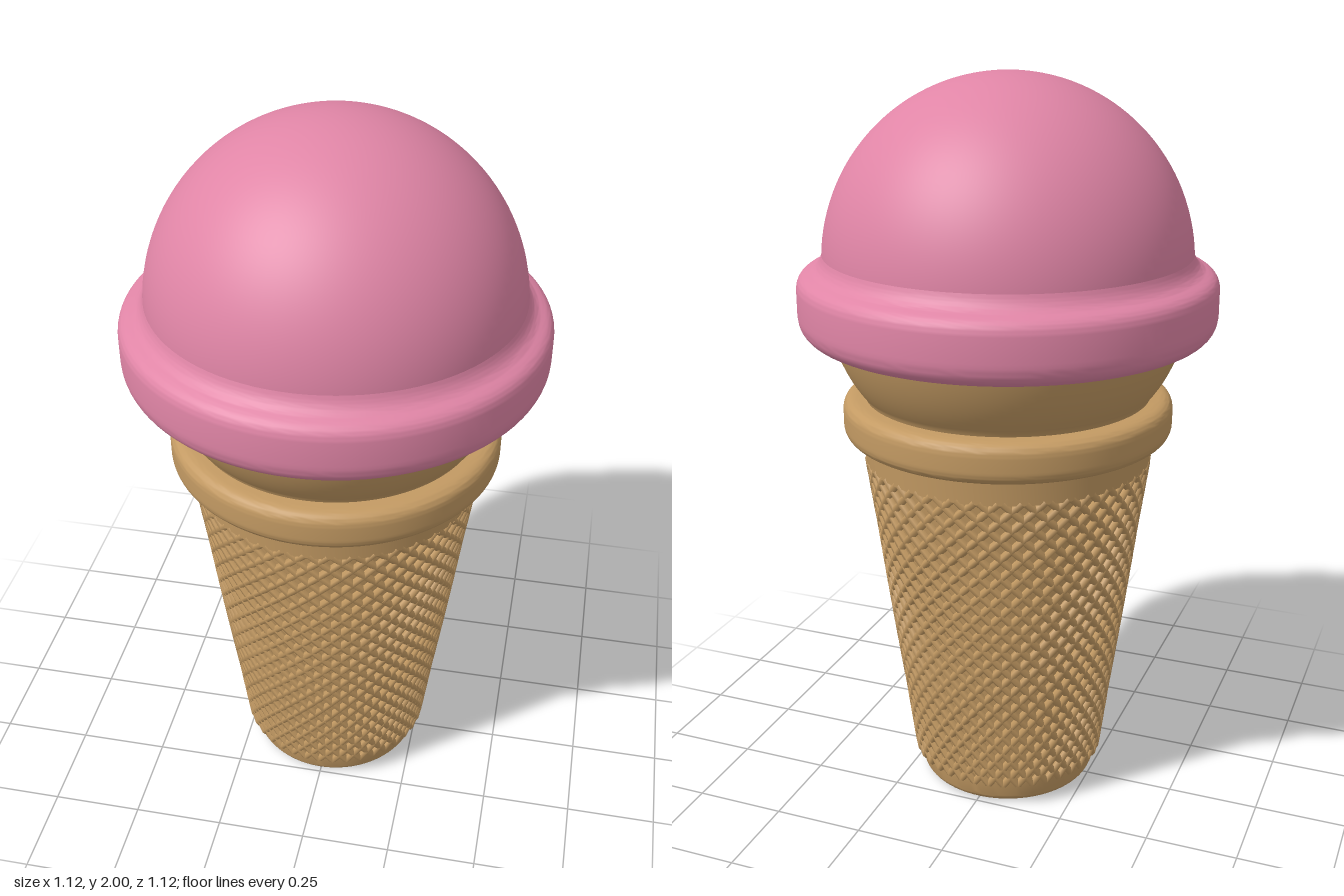
import * as THREE from 'three';
import { mergeGeometries, toCreasedNormals } from 'three/addons/utils/BufferGeometryUtils.js';

const waffle = new THREE.MeshStandardMaterial({ color: 0xc39a63 });
const cream = new THREE.MeshStandardMaterial({ color: 0xe085a6 });

// Turned part from a path of (radius, height), bottom to top
function turned(name, path, material) {
  const points = path.getPoints(12);
  const geometry = toCreasedNormals(new THREE.LatheGeometry(points, 96), 0.6);
  const mesh = new THREE.Mesh(geometry, material);
  mesh.name = name;
  return mesh;
}

// Helical rib climbing the tapered wall
class RibCurve extends THREE.Curve {
  constructor(twist) {
    super();
    this.twist = twist;
  }
  getPoint(t, target = new THREE.Vector3()) {
    const r = THREE.MathUtils.lerp(0.261, 0.384, t);
    const a = this.twist * t;
    return target.set(r * Math.sin(a), THREE.MathUtils.lerp(0.07, 0.975, t), r * Math.cos(a));
  }
}

export function createModel() {
  const model = new THREE.Group();
  model.name = 'iceCreamCone';

  // Plain foot with a rounded lower edge
  const foot = new THREE.Path();
  foot.moveTo(0, 0);
  foot.lineTo(0.215, 0);
  foot.quadraticCurveTo(0.245, 0.003, 0.25, 0.03);
  foot.lineTo(0.256, 0.07);
  model.add(turned('coneFoot', foot, waffle));

  // Tapered wall and the smooth band at its top
  const wall = new THREE.Path();
  wall.moveTo(0.256, 0.07);
  wall.lineTo(0.379, 0.97);
  wall.lineTo(0.391, 0.97);
  wall.lineTo(0.397, 1.06);
  model.add(turned('coneWall', wall, waffle));

  // Crossed ribs of the waffle pattern
  const ribCount = 40;
  for (const [name, twist] of [['leftRibs', 2.5], ['rightRibs', -2.5]]) {
    const rib = new THREE.TubeGeometry(new RibCurve(twist), 44, 0.011, 6, false);
    const ribs = [];
    for (let i = 0; i < ribCount; i++) {
      ribs.push(rib.clone().rotateY((i / ribCount) * Math.PI * 2));
    }
    const mesh = new THREE.Mesh(mergeGeometries(ribs), waffle);
    mesh.name = name;
    model.add(mesh);
  }

  // Rounded collar
  const collar = new THREE.Path();
  collar.moveTo(0.37, 1.04);
  collar.lineTo(0.405, 1.04);
  collar.bezierCurveTo(0.435, 1.04, 0.448, 1.055, 0.448, 1.08);
  collar.lineTo(0.448, 1.115);
  collar.bezierCurveTo(0.448, 1.14, 0.435, 1.152, 0.405, 1.153);
  collar.lineTo(0.37, 1.155);
  model.add(turned('collar', collar, waffle));

  // Flared cup under the scoop
  const cup = new THREE.Path();
  cup.moveTo(0.385, 1.14);
  cup.lineTo(0.39, 1.16);
  cup.quadraticCurveTo(0.445, 1.225, 0.472, 1.325);
  model.add(turned('cup', cup, waffle));

  // Bulging skirt of the scoop
  const skirt = new THREE.Path();
  skirt.moveTo(0.4, 1.32);
  skirt.lineTo(0.48, 1.32);
  skirt.bezierCurveTo(0.535, 1.32, 0.558, 1.345, 0.558, 1.39);
  skirt.lineTo(0.558, 1.455);
  skirt.bezierCurveTo(0.555, 1.487, 0.535, 1.492, 0.517, 1.5);
  skirt.quadraticCurveTo(0.497, 1.512, 0.489, 1.54);
  model.add(turned('scoopSkirt', skirt, cream));

  // Round dome
  const dome = new THREE.Mesh(
    new THREE.SphereGeometry(0.49, 96, 32, 0, Math.PI * 2, 0, Math.PI / 2), cream);
  dome.name = 'scoopDome';
  dome.position.y = 1.51;
  model.add(dome);

  return model;
}
